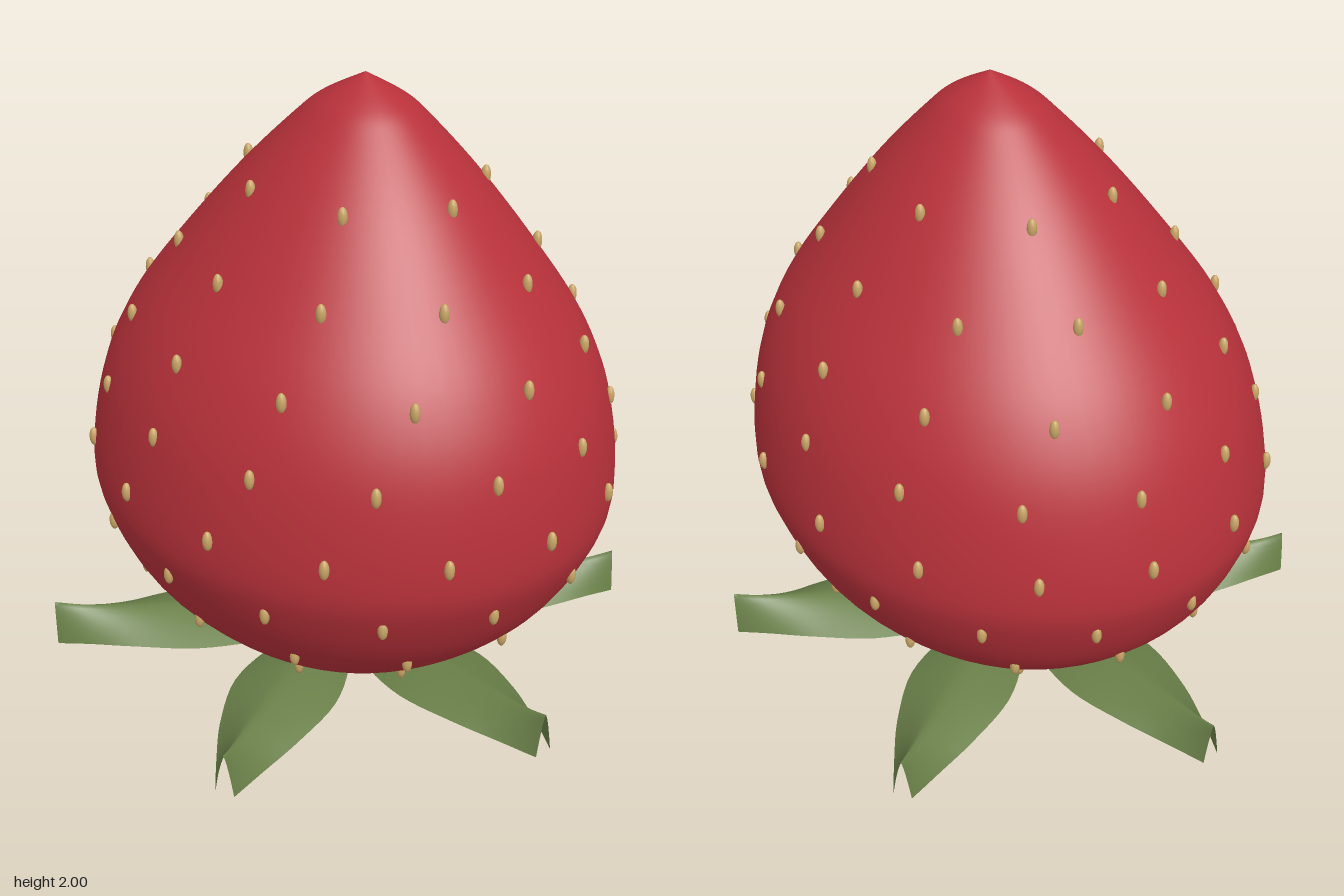
import * as THREE from 'three';

const SQUASH = 0.885; // depth relative to width
const LEAN = 0.055; // sideways lean of the fruit per unit of height

const red = new THREE.MeshStandardMaterial({ name: 'berry red', color: 0xb8313a });
const tan = new THREE.MeshStandardMaterial({ name: 'seed tan', color: 0xc9a566 });
const green = new THREE.MeshStandardMaterial({ name: 'leaf green', color: 0x6a8049, side: THREE.DoubleSide });

// Fruit outline as [radius, height], from the low point to the tip
const outline = [
  [0, 0.005], [0.27, 0.1], [0.5, 0.205], [0.735, 0.42], [0.855, 0.635], [0.88, 0.8],
  [0.83, 1.06], [0.73, 1.27], [0.57, 1.48], [0.385, 1.695], [0.22, 1.86], [0.135, 1.93], [0, 2],
].map(([r, y]) => new THREE.Vector2(r, y));

function makeFruit() {
  const profile = new THREE.SplineCurve(outline).getPoints(72);
  profile[0].x = profile[profile.length - 1].x = 0;
  const geometry = new THREE.LatheGeometry(profile, 64);
  geometry.applyMatrix4(new THREE.Matrix4().set(
    1, LEAN, 0, 0,
    0, 1, 0, 0,
    0, 0, SQUASH, 0,
    0, 0, 0, 1,
  ));
  const fruit = new THREE.Mesh(geometry, red);
  fruit.name = 'fruit';
  return fruit;
}

// Rings of upright seeds, every other ring turned by half a step
function makeSeeds() {
  const seeds = new THREE.Group();
  seeds.name = 'seeds';
  const geometry = new THREE.SphereGeometry(1, 12, 8);
  geometry.scale(0.015, 0.031, 0.015);
  const rings = [
    [0.205, 0.5, 9], [0.42, 0.735, 13], [0.635, 0.855, 15], [0.845, 0.88, 15],
    [1.06, 0.83, 14], [1.27, 0.735, 12], [1.48, 0.575, 10], [1.695, 0.388, 7],
  ];
  rings.forEach(([y, radius, count], ring) => {
    for (let i = 0; i < count; i++) {
      const a = ((i + (ring % 2 ? 0 : 0.5)) / count) * Math.PI * 2;
      const seed = new THREE.Mesh(geometry, tan);
      seed.name = 'seed';
      seed.position.set(LEAN * y + radius * Math.cos(a), y, radius * SQUASH * Math.sin(a));
      seeds.add(seed);
    }
  });
  return seeds;
}

// Leaf cross-sections as [distance out, half width, edge height, crest height]
const sections = [
  [0.15, 0.005, 0.09, 0.095], [0.2, 0.08, 0.085, 0.115], [0.3, 0.14, 0.1, 0.15],
  [0.5, 0.17, 0.115, 0.175], [0.7, 0.13, 0.115, 0.19], [0.85, 0.075, 0.1, 0.205],
  [0.955, 0.03, 0.08, 0.225],
];

// An arched leaf that folds tighter towards its open, blunt tip
function makeLeaf(lift) {
  const along = 28, across = 12;
  const column = (k) => new THREE.SplineCurve(sections.map((s) => new THREE.Vector2(s[0], s[k])));
  const [width, edge, crest] = [1, 2, 3].map(column);
  const geometry = new THREE.PlaneGeometry(1, 1, across, along);
  const pos = geometry.attributes.position;
  for (let i = 0; i < pos.count; i++) {
    const s = pos.getX(i) * 2;
    const t = 0.5 - pos.getY(i);
    const w = width.getPoint(t), e = edge.getPoint(t).y, c = crest.getPoint(t).y;
    const arch = 1 - Math.pow(Math.abs(s), 1.4);
    pos.setXYZ(i, w.x, e + (c - e) * arch + lift * t * t, -w.y * s);
  }
  geometry.computeVertexNormals();
  const leaf = new THREE.Mesh(geometry, green);
  leaf.name = 'leaf';
  return leaf;
}

function makeLeaves() {
  const leaves = new THREE.Group();
  leaves.name = 'leaves';
  const lifts = [0.025, 0.005, 0.01, 0, 0.01, 0.005];
  lifts.forEach((lift, i) => {
    const leaf = makeLeaf(lift);
    leaf.rotation.y = (i * Math.PI) / 3;
    leaves.add(leaf);
  });
  return leaves;
}

export function createModel() {
  const model = new THREE.Group();
  model.name = 'strawberry';
  model.add(makeFruit(), makeSeeds(), makeLeaves());
  return model;
}
